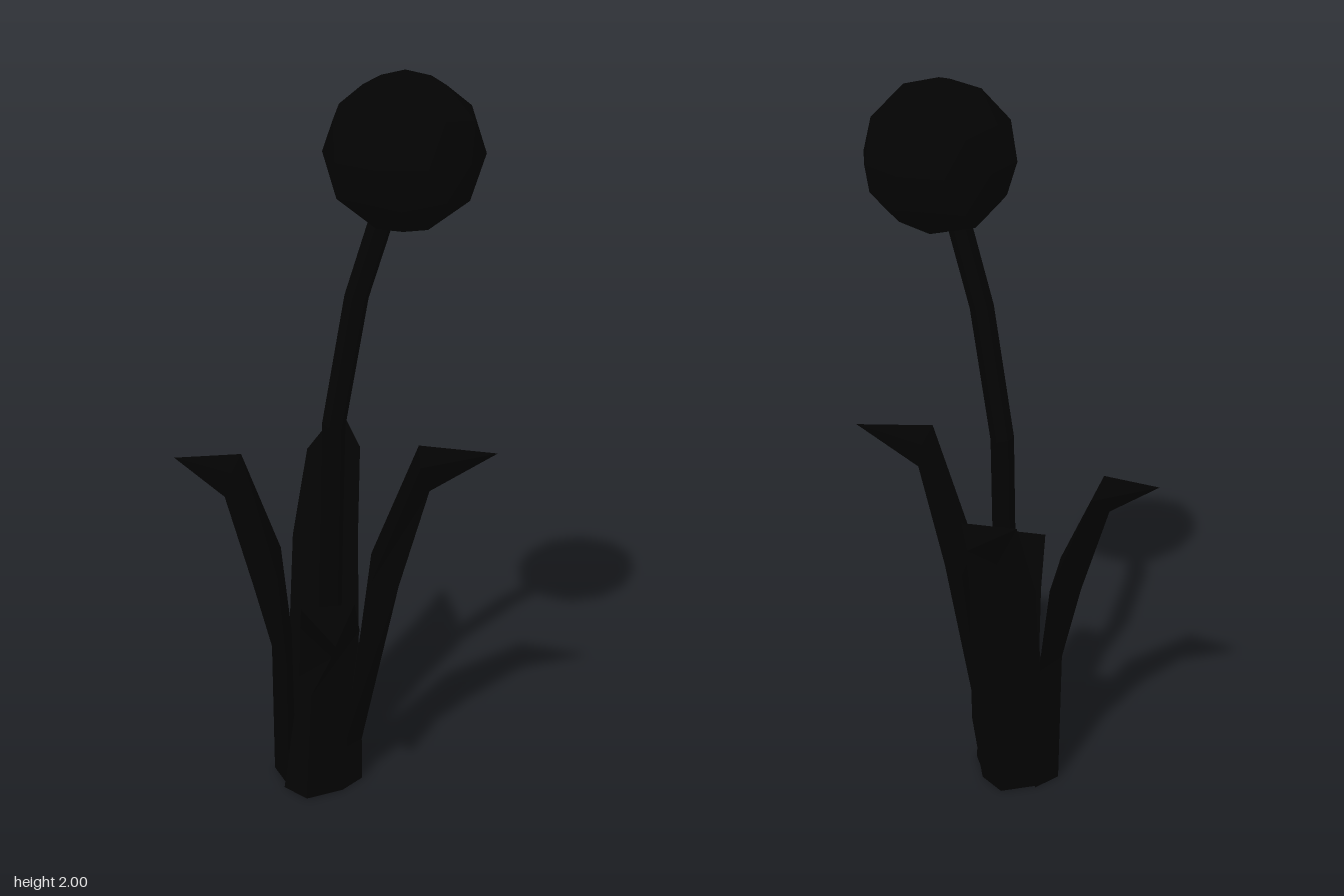
import * as THREE from 'three';

const black = new THREE.MeshStandardMaterial({ color: 0x030303, flatShading: true });
black.name = 'black';

// Points are [reach outward, height, offset to the left].
// A section is a keel, a left edge and a right edge; the foot is the same on every leaf.
const footSection = (o, l) => [[o + 0.125, 0, l + 0.02], [o + 0.05, 0, l + 0.095], [o + 0.095, 0, l - 0.06]];

// Keeled leaf skinned over its sections and ending in a point
function leafGeometry(sections, tip) {
  const pos = [];
  const tri = (...points) => points.forEach(([o, y, l]) => pos.push(o, y, -l));
  sections.forEach((ring, s) => {
    const next = sections[s + 1];
    for (let k = 0; k < 3; k++) {
      const n = (k + 1) % 3;
      if (next) {
        tri(ring[k], ring[n], next[n]);
        tri(ring[k], next[n], next[k]);
      } else tri(ring[k], ring[n], tip);
    }
  });
  const [keel, left, right] = sections[0];
  tri(keel, right, left);
  const geo = new THREE.BufferGeometry();
  geo.setAttribute('position', new THREE.Float32BufferAttribute(pos, 3));
  geo.computeVertexNormals();
  return geo;
}

export function createModel() {
  const model = new THREE.Group();
  model.name = 'flower';
  const add = (name, geometry) => {
    const mesh = new THREE.Mesh(geometry, black);
    mesh.name = name;
    model.add(mesh);
    return mesh;
  };
  const addLeaf = (name, quarterTurns, foot, tip, ...sections) => {
    add(name, leafGeometry([footSection(...foot), ...sections], tip)).rotation.y = quarterTurns * Math.PI / 2;
  };

  // Leaves, each a quarter turn from the last
  addLeaf('leftLeaf', 0, [-0.055, -0.067], [0.415, 1.02, 0.02],
    [[0.07, 0.13, -0.05], [0, 0.13, 0.03], [0.04, 0.13, -0.12]],
    [[0.17, 0.62, -0.04], [0.06, 0.66, 0.045], [0.12, 0.66, -0.12]],
    [[0.25, 0.91, -0.035], [0.2, 1.01, 0.02], [0.25, 1.005, -0.11]]);
  addLeaf('backLeaf', 1, [-0.067, 0.055], [0.35, 0.945, 0.15],
    [[0.065, 0.22, 0.09], [0, 0.22, 0.175], [0.06, 0.22, -0.02]],
    [[0.12, 0.65, 0.13], [0.04, 0.68, 0.17], [0.1, 0.68, 0]],
    [[0.175, 0.815, 0.13], [0.125, 0.905, 0.16], [0.18, 0.91, 0.025]]);
  addLeaf('rightLeaf', 2, [0.055, 0.067], [0.415, 0.96, 0.18],
    [[0.177, 0.4, 0.1], [0.1, 0.4, 0.18], [0.16, 0.4, 0]],
    [[0.205, 0.6, 0.15], [0.12, 0.66, 0.186], [0.185, 0.66, 0.01]],
    [[0.28, 0.86, 0.16], [0.245, 0.945, 0.19], [0.28, 0.94, 0.05]]);
  addLeaf('frontLeaf', 3, [0.075, -0.055], [0.35, 0.585, 0.11],
    [[0.197, 0.33, -0.02], [0.12, 0.36, 0.07], [0.16, 0.36, -0.07]],
    [[0.225, 0.475, 0.05], [0.15, 0.53, 0.1], [0.2, 0.53, -0.05]],
    [[0.245, 0.495, 0.06], [0.24, 0.655, 0.12], [0.3, 0.645, -0.005]]);

  // Bent stem: rows of a cylinder moved onto a path of [x, y]
  const path = [[-0.035, 0], [-0.022, 0.75], [-0.015, 1.06], [0.048, 1.42], [0.13, 1.68]];
  const stem = new THREE.CylinderGeometry(0.031, 0.031, 4, 6, 4);
  const p = stem.attributes.position;
  for (let i = 0; i < p.count; i++) {
    const [x, y] = path[Math.round(p.getY(i) + 2)];
    p.setXYZ(i, p.getX(i) + x, y && y - p.getX(i) * 0.2, p.getZ(i) + 0.042);
  }
  stem.computeVertexNormals();
  add('stem', stem);

  // Faceted round bloom with a corner at its top
  const bloom = new THREE.IcosahedronGeometry(0.2, 1);
  bloom.rotateZ(-Math.atan(2 / (1 + Math.sqrt(5))));
  add('bloom', bloom).position.set(0.17, 1.8, 0.04);

  return model;
}
